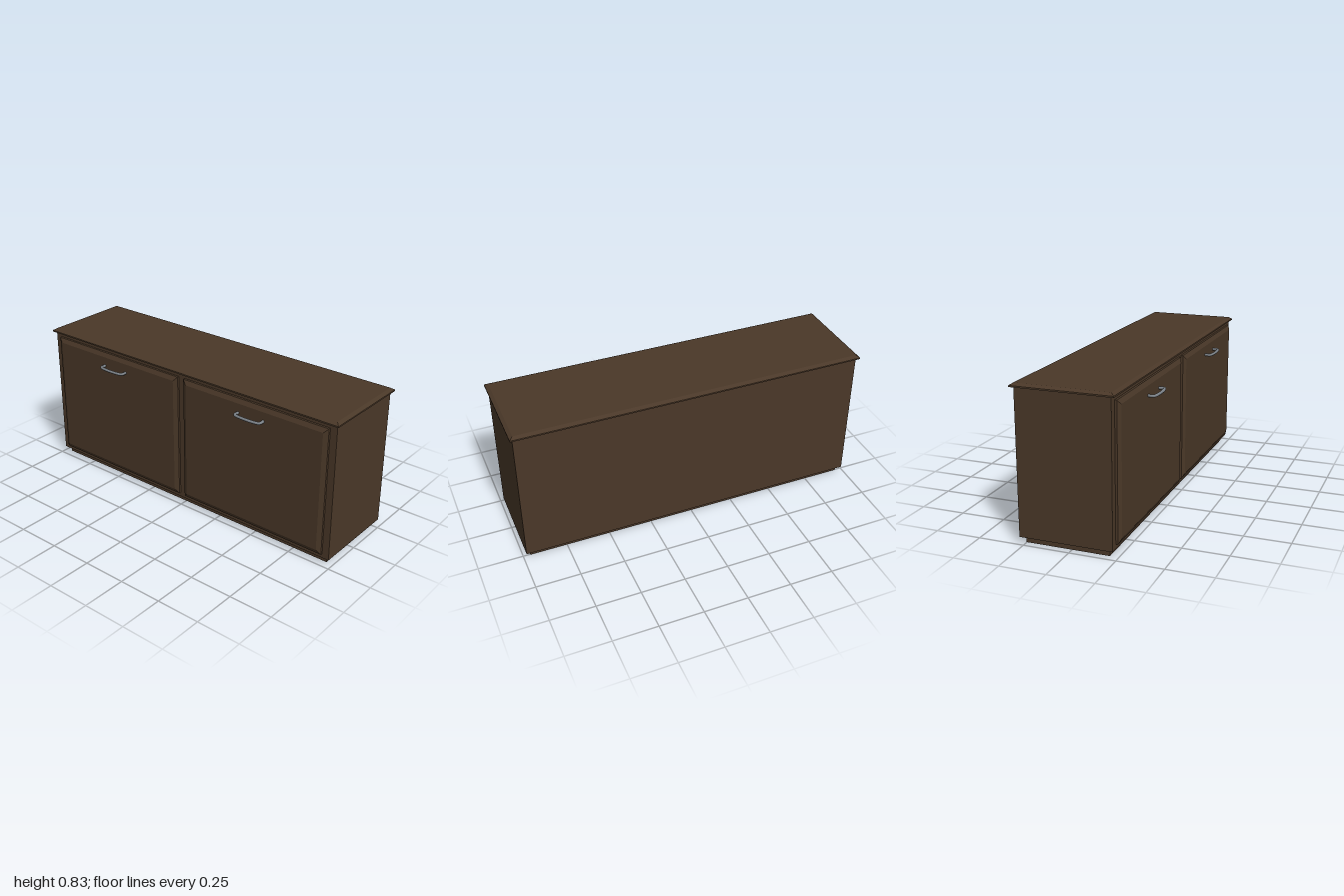
import * as THREE from 'three';

const wood = new THREE.MeshStandardMaterial({ color: 0x4a3828 });
const metal = new THREE.MeshStandardMaterial({ color: 0x7c8288 });

function addMesh(parent, name, geometry, material, x, y, z) {
  const mesh = new THREE.Mesh(geometry, material);
  mesh.name = name;
  mesh.position.set(x, y, z);
  parent.add(mesh);
  return mesh;
}

// Slab standing on y = 0: straight edge up to "edge", then a chamfer drawn in by "inset"
function chamferedSlab(w, h, d, edge, inset) {
  const box = new THREE.BoxGeometry(w, h, d, 1, 2, 1);
  const p = box.attributes.position;
  for (let i = 0; i < p.count; i++) {
    const y = p.getY(i);
    if (y > 0.001) {
      p.setX(i, p.getX(i) - Math.sign(p.getX(i)) * inset);
      p.setZ(i, p.getZ(i) - Math.sign(p.getZ(i)) * inset);
      p.setY(i, h);
    } else p.setY(i, y < -0.001 ? 0 : edge);
  }
  const geometry = box.toNonIndexed();
  geometry.computeVertexNormals();
  return geometry;
}

// Bowed pull handle along z, its feet at x = 0 and its grip towards -x
function handleGeometry() {
  const points = [
    [0, -0.08], [-0.025, -0.081], [-0.036, -0.077], [-0.041, -0.062], [-0.0445, -0.03],
    [-0.0455, 0], [-0.0445, 0.03], [-0.041, 0.062], [-0.036, 0.077], [-0.025, 0.081], [0, 0.08],
  ].map(([x, z]) => new THREE.Vector3(x, 0, z));
  return new THREE.TubeGeometry(new THREE.CatmullRomCurve3(points), 48, 0.008, 10);
}

export function createModel() {
  const model = new THREE.Group();
  model.name = 'sideboard';

  // Recessed plinth, carcass and overhanging top
  addMesh(model, 'plinth', new THREE.BoxGeometry(0.456, 0.035, 1.92), wood, 0.025, 0.0175, 0);
  addMesh(model, 'carcass', new THREE.BoxGeometry(0.506, 0.78, 1.97), wood, 0.025, 0.425, 0);
  addMesh(model, 'top', chamferedSlab(0.544, 0.02, 2, 0.008, 0.019), wood, 0.025, 0.815, 0);

  // Two chamfered doors on the -x side, each with a handle
  const doorGeometry = chamferedSlab(0.73, 0.024, 0.925, 0.012, 0.025);
  const handle = handleGeometry();
  for (const side of [-1, 1]) {
    const label = side > 0 ? 'front' : 'back';
    const door = addMesh(model, label + 'Door', doorGeometry, wood, -0.228, 0.425, side * 0.4825);
    door.rotation.z = Math.PI / 2;
    addMesh(model, label + 'Handle', handle, metal, -0.247, 0.713, side * 0.4825);
  }
  return model;
}
